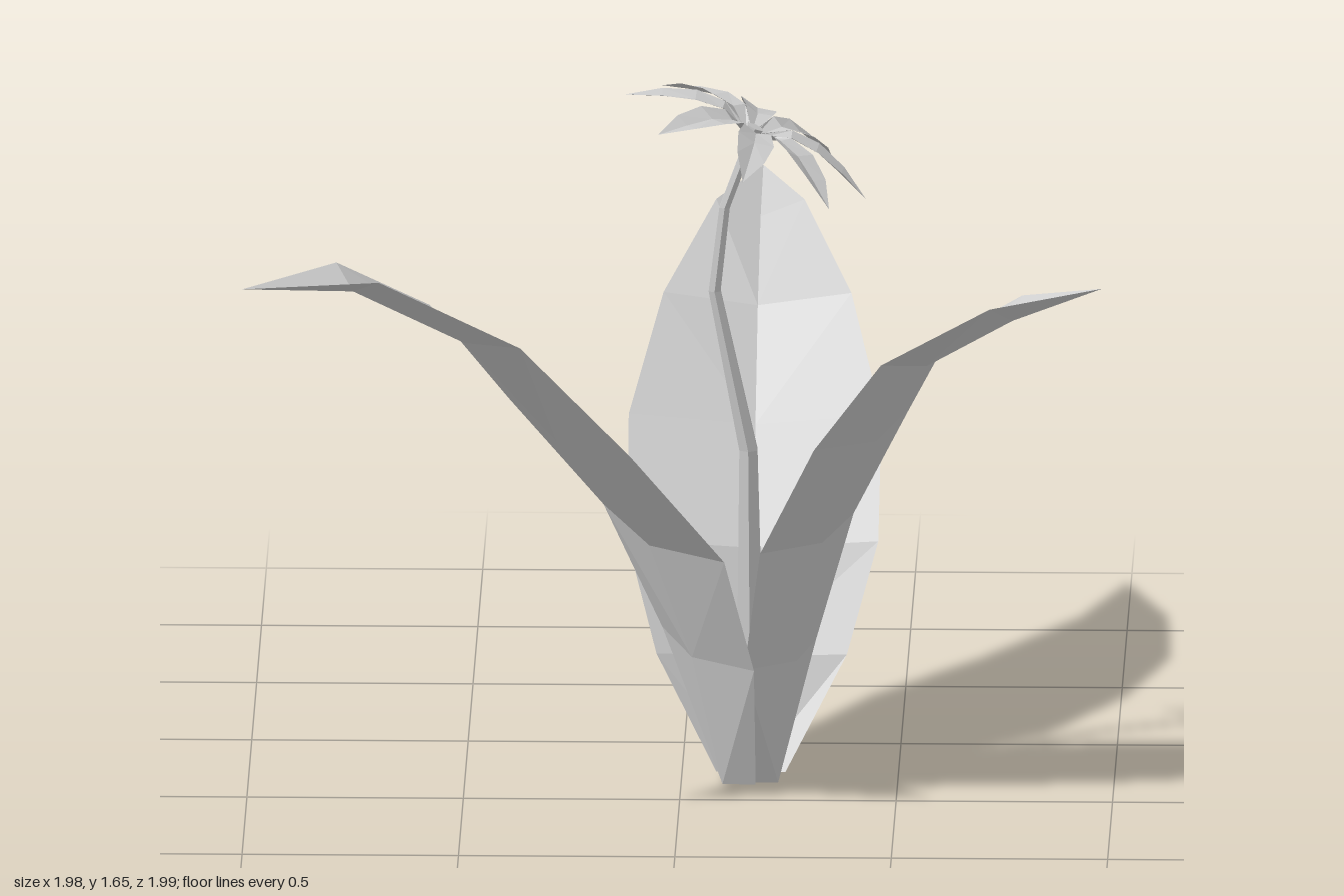
import * as THREE from 'three';

const CENTER = { x: 0.16, z: 0.33 };

// Folded blade growing along +z: rows of [reach, height, halfWidth], the rib sunk by `fold`.
function bladeGeometry(rows, fold) {
  const points = [];
  rows.forEach(([r, y, w], i) => {
    const a = rows[Math.max(i - 1, 0)];
    const b = rows[Math.min(i + 1, rows.length - 1)];
    const dr = b[0] - a[0], dy = b[1] - a[1];
    const sink = w > 0 ? fold / Math.hypot(dr, dy) : 0;
    points.push(-w, y, r, 0, y - dr * sink, r + dy * sink, w, y, r);
  });
  const index = [];
  const last = rows.length - 2;
  for (let i = 0; i <= last; i++) {
    const p = i * 3, q = p + 3;
    if (i === last && rows[i + 1][2] === 0) {
      index.push(p, p + 1, q + 1, p + 1, p + 2, q + 1);
    } else {
      // diagonals mirrored about the rib
      index.push(p, p + 1, q, p + 1, q + 1, q);
      index.push(p + 1, p + 2, q + 2, p + 1, q + 2, q + 1);
    }
  }
  const geometry = new THREE.BufferGeometry();
  geometry.setAttribute('position', new THREE.Float32BufferAttribute(points, 3));
  geometry.setIndex(index);
  const flat = geometry.toNonIndexed();
  flat.computeVertexNormals();
  return flat;
}

// Six-sided stalk through rings of [x, y, radius], closed at both ends.
function stalkGeometry(rings, sides) {
  const geometry = new THREE.CylinderGeometry(1, 1, 1, sides, rings.length - 1);
  const pos = geometry.attributes.position;
  for (let i = 0; i < pos.count; i++) {
    const k = Math.round((pos.getY(i) + 0.5) * (rings.length - 1));
    const [x, y, r] = rings[k];
    pos.setXYZ(i, x + pos.getX(i) * r, y, pos.getZ(i) * r);
  }
  const flat = geometry.toNonIndexed();
  flat.computeVertexNormals();
  return flat;
}

export function createModel() {
  const model = new THREE.Group();
  model.name = 'floweringPlant';
  const grey = new THREE.MeshStandardMaterial({ color: 0xcccccc, side: THREE.DoubleSide, flatShading: true });
  grey.name = 'plainGrey';

  const add = (parent, name, geometry) => {
    const mesh = new THREE.Mesh(geometry, grey);
    mesh.name = name;
    parent.add(mesh);
    return mesh;
  };

  // Three broad leaves spread evenly around the base
  const wide = [
    [0.03, 0, 0.08], [0.11, 0.26, 0.22], [0.225, 0.5, 0.29], [0.47, 0.735, 0.292],
    [0.715, 0.96, 0.217], [1.02, 1.1, 0.102], [1.32, 1.1, 0],
  ];
  const tall = wide.map(([r, y, w]) => [r * 1.015, y * 1.218, w]);
  const steep = [
    [0.03, 0, 0.06], [0.08, 0.3, 0.16], [0.152, 0.6, 0.208], [0.3, 0.87, 0.212],
    [0.445, 1.08, 0.153], [0.69, 1.23, 0.073], [0.95, 1.3, 0],
  ];
  const leaves = [
    ['backLeaf', wide, Math.PI],
    ['rightLeaf', tall, -Math.PI / 3],
    ['leftLeaf', steep, Math.PI / 3],
  ];
  for (const [name, rows, turn] of leaves) {
    const leaf = add(model, name, bladeGeometry(rows, 0.045));
    leaf.position.set(CENTER.x, 0, CENTER.z);
    leaf.rotation.y = turn;
  }

  // Curved, tapering stem
  const stem = add(model, 'stem', stalkGeometry([
    [0.16, 0, 0.04], [0.158, 0.4, 0.032], [0.155, 0.78, 0.024], [0.077, 1.16, 0.016],
    [0.1, 1.36, 0.014], [0.155, 1.51, 0.014], [0.167, 1.54, 0.022],
  ], 6));
  stem.position.z = CENTER.z;

  // Tilted flower with eight drooping petals
  const flower = new THREE.Group();
  flower.name = 'flower';
  flower.position.set(0.165, 1.54, CENTER.z);
  flower.rotation.z = -0.42;
  model.add(flower);
  const petal = bladeGeometry([
    [0.012, 0, 0.008], [0.085, 0.033, 0.034], [0.155, 0.028, 0.045],
    [0.23, 0.002, 0.034], [0.306, -0.04, 0],
  ], 0.01);
  for (let i = 0; i < 8; i++) {
    add(flower, 'petal', petal).rotation.y = i * Math.PI / 4;
  }
  const heart = add(flower, 'flowerCenter', new THREE.CylinderGeometry(0.022, 0.016, 0.02, 6));
  heart.position.y = 0.004;

  return model;
}
